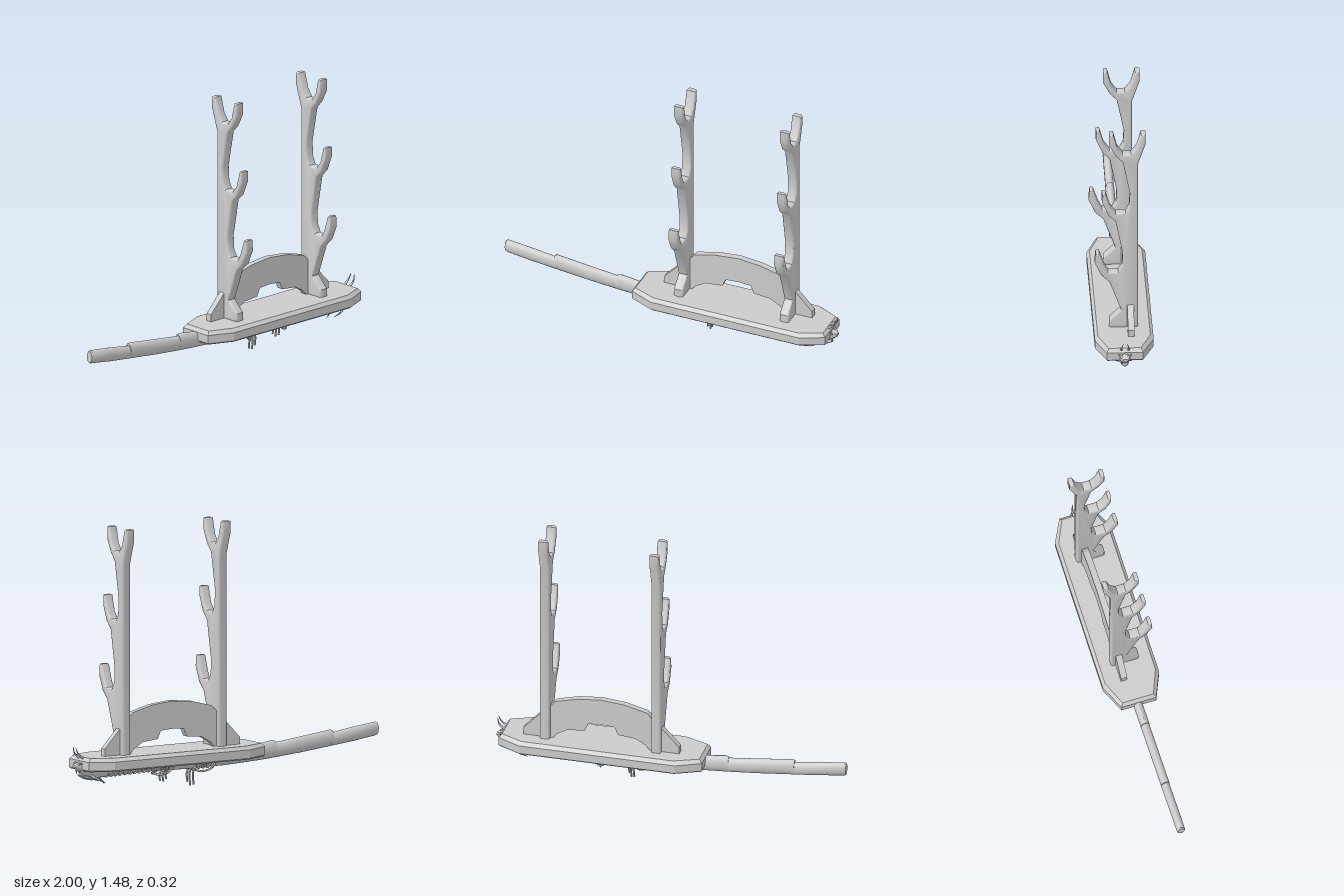
import * as THREE from 'three';
import { toCreasedNormals } from 'three/addons/utils/BufferGeometryUtils.js';

const grey = new THREE.MeshStandardMaterial({ color: 0xcccccc, side: THREE.DoubleSide });

function add(parent, name, geometry, crease = 0.7) {
  const mesh = new THREE.Mesh(toCreasedNormals(geometry, crease), grey);
  mesh.name = name;
  parent.add(mesh);
  return mesh;
}

// Skin over a list of equal-length rings, closed at both ends
function loft(rings) {
  const n = rings[0].length, pos = [], idx = [];
  rings.forEach(r => r.forEach(p => pos.push(...p)));
  for (let i = 0; i < rings.length - 1; i++) for (let j = 0; j < n; j++) {
    const a = i * n + j, b = i * n + (j + 1) % n;
    idx.push(a, b, a + n, b, b + n, a + n);
  }
  [0, rings.length - 1].forEach((i, end) => {
    const c = pos.length / 3;
    pos.push(...[0, 1, 2].map(k => rings[i].reduce((s, p) => s + p[k], 0) / n));
    for (let j = 0; j < n; j++) {
      const a = i * n + j, b = i * n + (j + 1) % n;
      idx.push(c, end ? a : b, end ? b : a);
    }
  });
  const g = new THREE.BufferGeometry();
  g.setAttribute('position', new THREE.Float32BufferAttribute(pos, 3));
  g.setIndex(idx);
  return g;
}

// Body along x from [x, bottom, top, half width] sections
function bodyAlongX(sections, sides = 16, z = -0.004) {
  return loft(sections.map(([x, lo, hi, w]) => Array.from({ length: sides }, (_, j) => {
    const t = (j / sides) * Math.PI * 2;
    return [x, (lo + hi) / 2 + Math.cos(t) * (hi - lo) / 2, z + Math.sin(t) * w];
  })));
}

function tube(points, radius, segments = 14) {
  const curve = new THREE.CatmullRomCurve3(points.map(p => new THREE.Vector3(...p)));
  return new THREE.TubeGeometry(curve, segments, radius, 6);
}

// Curved spike: a tube narrowing to its tip
function spike(points, r) {
  const curve = new THREE.CatmullRomCurve3(points.map(p => new THREE.Vector3(...p)));
  const n = 8, g = new THREE.TubeGeometry(curve, n, r, 6), p = g.attributes.position;
  for (let i = 0; i < p.count; i++) {
    const u = Math.floor(i / 7) / n, c = curve.getPointAt(u);
    const v = new THREE.Vector3().fromBufferAttribute(p, i).sub(c).multiplyScalar(1 - 0.9 * u).add(c);
    p.setXYZ(i, v.x, v.y, v.z);
  }
  return g;
}

const shapeOf = pts => new THREE.Shape(pts.map(p => new THREE.Vector2(...p)));

export function createModel() {
  const model = new THREE.Group();
  model.name = 'swordStand';

  // Base plank with clipped corners and a bevelled top
  const outline = [[-0.06, 0.16], [0.83, 0.16], [0.96, 0.1], [0.96, -0.1],
    [0.83, -0.165], [-0.06, -0.165], [-0.2, -0.1], [-0.2, 0.1]];
  const baseRing = (y, s) => outline.map(([x, z]) =>
    [0.38 + (x - 0.38) * (1 - s / 0.58), y, z * (1 - s / 0.16)]);
  add(model, 'base', loft([baseRing(0.14, 0.008), baseRing(0.148, 0), baseRing(0.195, 0), baseRing(0.215, 0.017)]), 0.4);

  // Branching posts, profile in z and y
  const post = [[-0.085, 0.21], [0.075, 0.21], [0.075, 0.26], [0.01, 0.325],
    [0.075, 0.51], [0.12, 0.555], [0.155, 0.635], [0.15, 0.70], [0.13, 0.70],
    [0.10, 0.61], [0.08, 0.575], [0.025, 0.575], [0.004, 0.615], [0, 0.69],
    [0.04, 0.905], [0.08, 0.945], [0.115, 1.03], [0.115, 1.09], [0.095, 1.09],
    [0.07, 1.0], [0.04, 0.96], [-0.015, 0.96], [-0.035, 1.0], [-0.04, 1.085],
    [0, 1.29], [0.04, 1.335], [0.075, 1.405], [0.075, 1.475], [0.052, 1.475],
    [0.03, 1.385], [0, 1.345], [-0.045, 1.345], [-0.075, 1.385], [-0.1, 1.475],
    [-0.127, 1.475], [-0.127, 1.41], [-0.085, 1.28]];
  [['rightPost', 0.0675], ['leftPost', 0.7025]].forEach(([name, x]) => {
    const g = new THREE.ExtrudeGeometry(shapeOf(post), {
      depth: 0.029, bevelThickness: 0.013, bevelSize: 0.009, bevelOffset: -0.009, bevelSegments: 3 });
    g.translate(0, 0, -0.0145).rotateY(-Math.PI / 2).translate(x, 0, 0);
    add(model, name, g);
  });

  // Arched brace, one half mirrored about its middle
  const mid = 0.385;
  const upper = [[-0.06, 0.21], [-0.06, 0.255], [0.045, 0.365], [0.125, 0.445], [0.25, 0.477], [mid, 0.49]];
  const lower = [[mid, 0.335], [0.31, 0.33], [0.29, 0.285], [0.19, 0.275], [0.13, 0.24], [0.105, 0.21]];
  const flip = pts => pts.slice().reverse().map(([x, y]) => [2 * mid - x, y]);
  const arch = [...upper, ...flip(upper).slice(1), ...flip(lower), ...lower.slice(1)];
  add(model, 'archBrace', new THREE.ExtrudeGeometry(shapeOf(arch), { depth: 0.036, bevelEnabled: false })
    .translate(0, 0, -0.06), 0.4);

  // Scabbard in three stepped sections, and the grip
  const sword = new THREE.Group();
  sword.name = 'sword';
  model.add(sword);
  add(sword, 'scabbardTip', bodyAlongX([[-1, 0.19, 0.255, 0.02], [-0.993, 0.185, 0.261, 0.024],
    [-0.85, 0.165, 0.245, 0.024], [-0.69, 0.148, 0.222, 0.024]]));
  add(sword, 'scabbardMiddle', bodyAlongX([[-0.705, 0.149, 0.236, 0.025], [-0.69, 0.148, 0.24, 0.025],
    [-0.5, 0.128, 0.217, 0.025], [-0.32, 0.113, 0.197, 0.025]]));
  add(sword, 'scabbardMouth', bodyAlongX([[-0.33, 0.114, 0.205, 0.026], [-0.31, 0.112, 0.211, 0.026],
    [-0.2, 0.105, 0.196, 0.026], [0, 0.096, 0.18, 0.026], [0.2, 0.094, 0.17, 0.026], [0.4, 0.096, 0.168, 0.026]]));
  add(sword, 'grip', bodyAlongX([[0.4, 0.102, 0.165, 0.024], [0.6, 0.1, 0.165, 0.024], [0.86, 0.09, 0.165, 0.024]]));
  for (let i = 0; i < 12; i++) {
    const ring = new THREE.TorusGeometry(0.032, 0.006, 6, 16);
    ring.scale(0.85, 1, 1).rotateY(Math.PI / 2).rotateZ(0.2).translate(0.44 + i * 0.031, 0.133 - i * 0.0008, -0.004);
    add(sword, 'gripWrap', ring, 1.2);
  }

  // Cord windings and their hanging tassels
  [0.12, 0.15, 0.18, 0.21, 0.375, 0.4, 0.42].forEach(x => {
    const ring = new THREE.TorusGeometry(0.036, 0.006, 6, 16);
    add(sword, 'cordWinding', ring.rotateY(Math.PI / 2).translate(x, 0.13, -0.004), 1.2);
  });
  [[0.21, 0.005], [0.228, 0.0], [0.242, 0.02], [0.39, 0.05], [0.405, 0.035], [0.422, 0.04]].forEach(([x, y], i) => {
    const z = (i % 3 - 1) * 0.007;
    add(sword, 'tassel', tube([[x - 0.008, 0.1, z], [x + 0.004, 0.07, z], [x, y, z]], 0.0055), 1.2);
  });
  for (const s of [-1, 1]) {
    for (const [x, w] of [[0.13, 0.075], [0.4, 0.06]]) {
      add(sword, 'cordLoop', tube([[x + 0.06, 0.1, 0], [x + 0.02, 0.125, s * w * 0.6], [x - 0.02, 0.135, s * w],
        [x, 0.1, s * w * 0.95], [x + 0.05, 0.08, s * w * 0.6], [x + 0.08, 0.09, 0]], 0.006, 20), 1.2);
    }
  }

  // Carved beast head on the pommel
  const head = new THREE.Group();
  head.name = 'pommelHead';
  model.add(head);
  add(head, 'skull', bodyAlongX([[0.82, 0.09, 0.16, 0.028], [0.88, 0.085, 0.18, 0.036], [0.93, 0.105, 0.192, 0.036],
    [0.97, 0.135, 0.186, 0.026], [0.995, 0.155, 0.175, 0.014]], 10, 0), 0.6);
  add(head, 'lowerJaw', bodyAlongX([[0.83, 0.085, 0.125, 0.024], [0.88, 0.078, 0.115, 0.026],
    [0.93, 0.09, 0.108, 0.018], [0.965, 0.108, 0.118, 0.008]], 10, 0), 0.6);
  add(head, 'beard', spike([[0.86, 0.09, 0], [0.82, 0.08, 0], [0.795, 0.055, 0]], 0.012), 1.2);
  for (const s of [-1, 1]) {
    add(head, 'horn', spike([[0.91, 0.18, s * 0.018], [0.955, 0.215, s * 0.02], [0.978, 0.235, s * 0.02],
      [0.99, 0.27, s * 0.012]], 0.012), 1.2);
    add(head, 'brow', spike([[0.985, 0.165, s * 0.008], [0.97, 0.18, s * 0.025], [0.94, 0.18, s * 0.042]], 0.01), 1.2);
    add(head, 'cheekSpike', spike([[0.9, 0.11, s * 0.025], [0.86, 0.085, s * 0.045], [0.81, 0.065, s * 0.04]], 0.01), 1.2);
    add(head, 'fang', spike([[0.965, 0.145, s * 0.015], [0.968, 0.13, s * 0.016], [0.962, 0.115, s * 0.015]], 0.006), 1.2);
  }
  return model;
}
